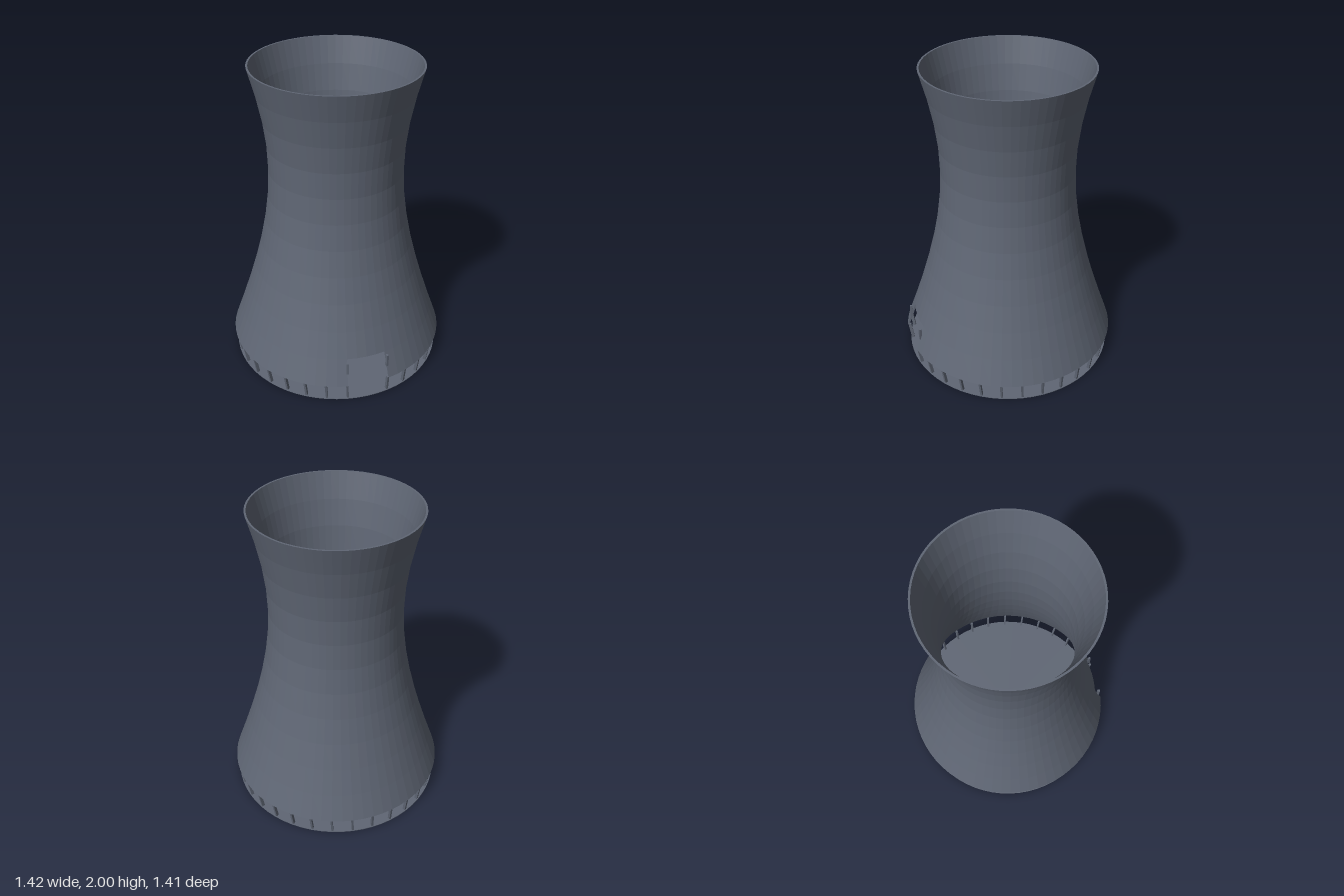
import * as THREE from 'three';

const SIDES = 64, BANDS = 11, BASE = 0.12, TOP = 2, WALL = 0.012;
const BAY = (Math.PI * 2) / 32; // angle between two legs
const bandY = (i) => BASE + ((TOP - BASE) * i) / BANDS;

// Hyperbolic radius of the outer shell at height y
function radiusAt(y) {
  const d = (y - 1.35) / (y > 1.35 ? 0.88 : 0.926);
  return 0.427 * Math.sqrt(1 + d * d);
}

// Closed wall section from band i0 to band i1: outside up, inside down
function wallProfile(i0, i1) {
  const outer = [], inner = [];
  for (let i = i0; i <= i1; i++) {
    const y = bandY(i);
    outer.push(new THREE.Vector2(radiusAt(y), y));
    inner.unshift(new THREE.Vector2(radiusAt(y) - WALL, y));
  }
  return [...outer, ...inner];
}

function faceted(geometry) {
  const flat = geometry.toNonIndexed();
  flat.computeVertexNormals();
  return flat;
}

export function createModel() {
  const model = new THREE.Group();
  model.name = 'coolingTower';
  const concrete = new THREE.MeshStandardMaterial({ color: 0x5f6674 });
  concrete.name = 'slateConcrete';
  const concreteThin = new THREE.MeshStandardMaterial({ color: 0x5f6674, side: THREE.DoubleSide });
  concreteThin.name = 'slateConcrete';

  function add(name, geometry, parent = model, material = concrete) {
    const mesh = new THREE.Mesh(geometry, material);
    mesh.name = name;
    parent.add(mesh);
    return mesh;
  }

  // Shell above the doorway
  const upper = wallProfile(1, BANDS);
  upper.push(upper[0].clone());
  add('upperShell', faceted(new THREE.LatheGeometry(upper, SIDES)));

  // Lowest band, left open at the front for the doorway
  const lower = wallProfile(0, 1);
  const jambShape = new THREE.Shape(lower);
  lower.push(lower[0].clone());
  add('lowerShell', faceted(new THREE.LatheGeometry(lower, SIDES - 4, BAY, Math.PI * 2 - BAY * 2)));

  // Doorway ends of the wall and their small side posts
  for (const side of [-1, 1]) {
    const jamb = add(side > 0 ? 'leftDoorJamb' : 'rightDoorJamb',
      new THREE.ShapeGeometry(jambShape), model, concreteThin);
    jamb.rotation.y = side * BAY - Math.PI / 2;
    const post = add(side > 0 ? 'leftDoorPost' : 'rightDoorPost',
      new THREE.BoxGeometry(0.014, 0.085, 0.018));
    post.position.set(side * 0.132, 0.24, 0.664);
    post.rotation.y = side * BAY;
  }

  // Ring of inward-leaning legs, none in the middle of the doorway
  const legs = new THREE.Group();
  legs.name = 'legs';
  model.add(legs);
  const legGeometry = new THREE.BoxGeometry(0.013, 0.12, 0.02);
  const p = legGeometry.attributes.position;
  for (let i = 0; i < p.count; i++) {
    const atTop = p.getY(i) > 0;
    p.setXYZ(i, p.getX(i) + (atTop ? -0.003 : 0.003), atTop ? BASE + 0.002 : 0,
      p.getZ(i) + (atTop ? 0.697 : 0.678));
  }
  legGeometry.computeVertexNormals();
  for (let i = 1; i < 32; i++) add('leg', legGeometry, legs).rotation.y = i * BAY;

  // Basin floor
  const floor = add('basinFloor', new THREE.CylinderGeometry(0.695, 0.695, 0.004, SIDES));
  floor.position.y = 0.002;

  return model;
}
